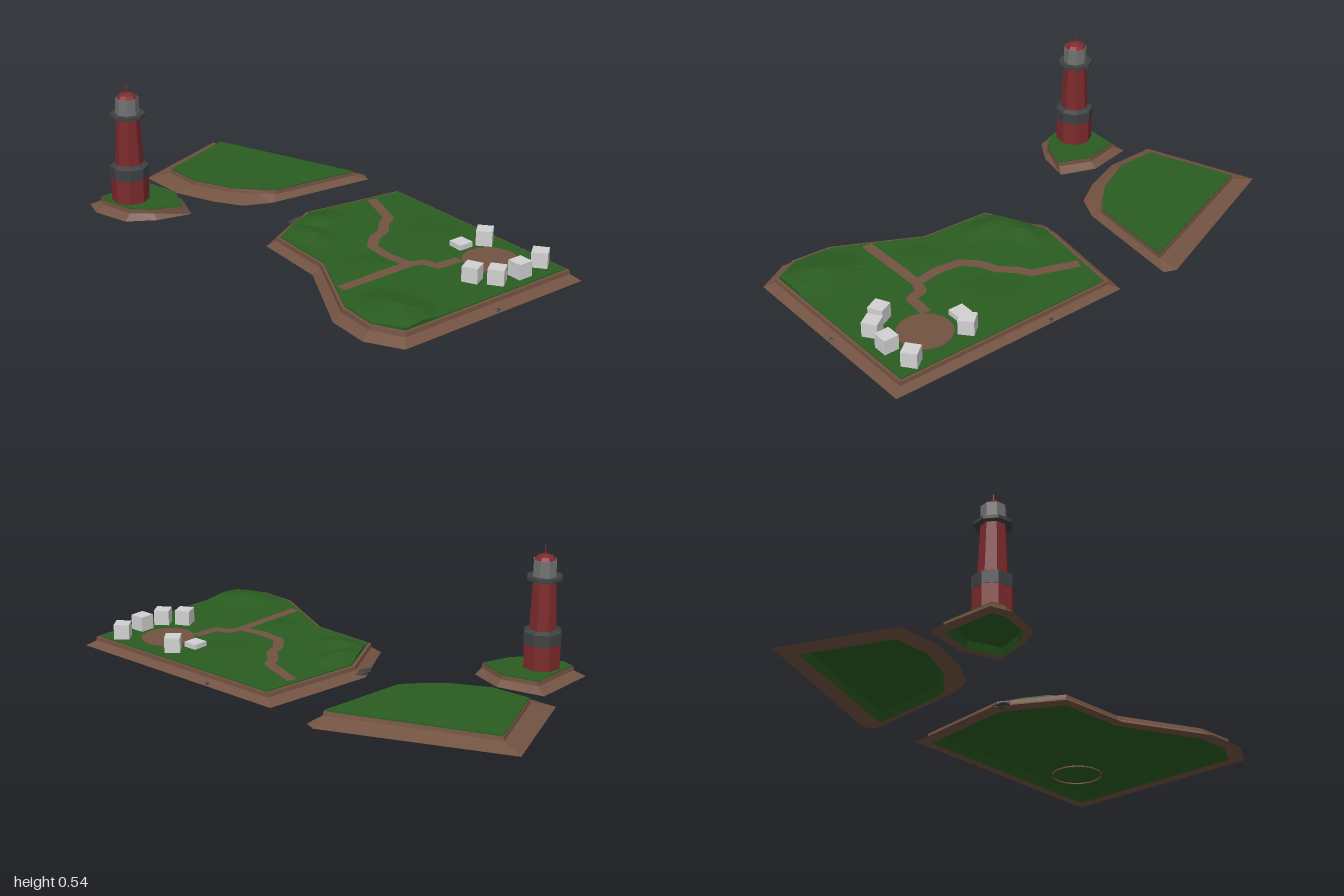
import * as THREE from 'three';

const mat = (name, color) => {
  const m = new THREE.MeshStandardMaterial({ color, flatShading: true });
  m.name = name;
  return m;
};

// Non-indexed geometry from counter-clockwise quads of [x, y, z] corners
function quads(list) {
  const pos = [];
  for (const [a, b, c, d] of list) pos.push(...a, ...b, ...c, ...a, ...c, ...d);
  const g = new THREE.BufferGeometry();
  g.setAttribute('position', new THREE.Float32BufferAttribute(pos, 3));
  g.computeVertexNormals();
  return g;
}

// Closed rings joined in order; outer to inner faces up
function loft(rings) {
  const list = [];
  for (let k = 0; k < rings.length - 1; k++) {
    const p = rings[k], q = rings[k + 1], n = p.length;
    for (let i = 0; i < n; i++) {
      const j = (i + 1) % n;
      list.push([p[i], q[i], q[j], p[j]]);
    }
  }
  return quads(list);
}

const mix = (a, b, t) => a.map((v, i) => v + (b[i] - v) * t);
const cone = (x, z, cx, cz, h, rx, rz = rx) =>
  h * Math.max(0, 1 - Math.hypot((x - cx) / rx, (z - cz) / rz));

const GROUND = 0.054, BASE = 0.011, CEILING = 0.038;

// Faceted hills of the large island
const hills = (x, z) => GROUND
  + cone(x, z, 0.83, 0.24, 0.034, 0.19, 0.13)
  + Math.max(cone(x, z, 0.05, -0.03, 0.028, 0.08, 0.14), cone(x, z, 0.13, 0.08, 0.026, 0.14, 0.08))
  + cone(x, z, 0.42, -0.28, 0.01, 0.14)
  + cone(x, z, 0.47, 0.08, 0.01, 0.1);
const flat = () => GROUND;

// Outlines are [x, z], running clockwise seen from above; bank is how far in the shore steps up
const islands = [
  {
    name: 'backIsland', height: flat, centre: [-0.58, -0.14], steps: 1, rings: 1, bank: 0.93,
    outer: [[-1, -0.27], [-0.29, -0.555], [-0.24, -0.535], [-0.29, -0.06], [-0.34, 0.05], [-0.45, 0.12], [-0.62, 0.187], [-0.83, 0.19]],
    inner: [[-0.9, -0.24], [-0.29, -0.468], [-0.27, -0.475], [-0.31, -0.1], [-0.36, -0.045], [-0.44, 0.03], [-0.6, 0.107], [-0.765, 0.11]],
  },
  {
    name: 'lighthouseIsland', height: flat, centre: [-0.58, 0.38], steps: 1, rings: 1, bank: 0.9,
    outer: [[-0.738, 0.246], [-0.545, 0.208], [-0.4, 0.262], [-0.433, 0.406], [-0.5, 0.513], [-0.652, 0.556], [-0.738, 0.529]],
    inner: [[-0.69, 0.272], [-0.545, 0.24], [-0.412, 0.294], [-0.455, 0.41], [-0.513, 0.48], [-0.647, 0.513], [-0.695, 0.497]],
  },
  {
    name: 'villageIsland', height: hills, centre: [0.5, -0.1], steps: 10, rings: 14, bank: 0.72,
    outer: [[-0.037, -0.513], [1, -0.513], [1, 0.353], [0.866, 0.428], [0.69, 0.417], [0.348, 0.235], [0.037, 0.214], [-0.1, -0.043]],
    inner: [[0.016, -0.476], [0.952, -0.476], [0.952, 0.31], [0.84, 0.369], [0.684, 0.358], [0.358, 0.19], [0.075, 0.176], [-0.043, -0.06]],
  },
];

const refine = (pts, n) => pts.flatMap((p, i) =>
  Array.from({ length: n }, (_, k) => mix(p, pts[(i + 1) % pts.length], k / n)));

// Flat ribbon that follows the terrain
function ribbon(points, width) {
  const pts = [];
  for (let i = 0; i < points.length - 1; i++)
    for (let k = 0; k < 4; k++) pts.push(mix(points[i], points[i + 1], k / 4));
  pts.push(points[points.length - 1]);
  const sides = pts.map((p, i) => {
    const a = pts[Math.max(i - 1, 0)], b = pts[Math.min(i + 1, pts.length - 1)];
    const dx = b[0] - a[0], dz = b[1] - a[1], s = width / 2 / Math.hypot(dx, dz);
    return [1, -1].map((m) => {
      const x = p[0] + m * dz * s, z = p[1] - m * dx * s;
      return [x, hills(x, z) + 0.003, z];
    });
  });
  const list = [];
  for (let i = 0; i < sides.length - 1; i++)
    list.push([sides[i][1], sides[i + 1][1], sides[i + 1][0], sides[i][0]]);
  return quads(list);
}

export function createModel() {
  const earth = mat('earth brown', 0x735342);
  const grass = mat('grass green', 0x2a5c20);
  const red = mat('tower red', 0x7c2a2c);
  const dark = mat('dark stone', 0x3e4042);
  const grey = mat('lantern grey', 0x727272);
  const pale = mat('house grey', 0xd2d2d2);

  const model = new THREE.Group();
  const add = (parent, name, geometry, material, x = 0, y = 0, z = 0) => {
    const m = new THREE.Mesh(geometry, material);
    m.name = name;
    m.position.set(x, y, z);
    parent.add(m);
    return m;
  };

  // Islands: sloping shore, small bank, grass top and hollow underside
  for (const { name, height, centre, steps, rings, bank, outer, inner } of islands) {
    const g = new THREE.Group();
    g.name = name;
    model.add(g);
    const o = refine(outer, steps), n = refine(inner, steps);
    const shoreRing = (t, y) => o.map((p, i) => {
      const [x, z] = mix(p, n[i], t);
      return [x, y, z];
    });
    add(g, 'shore', loft([
      shoreRing(1, BASE), shoreRing(0, BASE), shoreRing(bank, 0.034),
      shoreRing(bank + 0.04, 0.05), shoreRing(1, 0.05),
    ]), earth);

    const inward = (t, yOf) => n.map((p) => {
      const [x, z] = mix(p, centre, t);
      return [x, yOf(x, z), z];
    });
    const top = [inward(0, () => 0.048)];
    for (let k = 0; k <= rings; k++) top.push(inward(k / rings, height));
    add(g, 'grassTop', loft(top), grass);

    const rim = (x, z) => BASE - (height === hills ? cone(x, z, 0.358, 0.19, 0.011, 0.09) : 0);
    const ceiling = () => CEILING;
    add(g, 'grassUnderside', loft([inward(1, ceiling), inward(0.08, ceiling), inward(0, rim)]), grass);
  }

  // Paths
  const village = model.getObjectByName('villageIsland');
  add(village, 'mainPath', ribbon([[0.016, -0.335], [0.2, -0.267], [0.225, -0.22], [0.283, -0.166],
    [0.31, -0.1], [0.365, -0.04], [0.47, -0.03], [0.57, -0.045], [0.59, -0.1], [0.648, -0.115], [0.655, -0.22]], 0.043), earth);
  add(village, 'sidePath', ribbon([[0.57, -0.05], [0.572, 0.283]], 0.043), earth);

  // Village square, a disc with a rim that shows through the underside
  const square = [[0.101, 0.045], [0.101, 0.033], [0.107, 0.033], [0.107, 0.058], [0, 0.058]];
  add(village, 'square', new THREE.LatheGeometry(square.map((p) => new THREE.Vector2(...p)), 32), earth, 0.727, 0, -0.31);

  // Houses: x, z, turn, height
  const houses = [
    [0.567, -0.31, 0, 0.025], [0.602, -0.4, 0.7, 0.065], [0.87, -0.425, 0.65, 0.065],
    [0.888, -0.302, 0, 0.065], [0.877, -0.197, 0.6, 0.065], [0.807, -0.14, 0.45, 0.065],
  ];
  for (const [x, z, turn, h] of houses)
    add(village, 'house', new THREE.BoxGeometry(0.062, h, 0.062), pale, x, 0.05 + h / 2, z).rotation.y = turn;

  // Shore rocks: x, y, z and half sizes
  const rocks = [[-0.07, 0.02, -0.025, 0.022, 0.011, 0.056], [0.3, 0.016, -0.5, 0.018, 0.008, 0.011],
    [0.985, 0.017, -0.095, 0.013, 0.007, 0.013]];
  for (const [x, y, z, ...s] of rocks)
    add(village, 'rock', new THREE.IcosahedronGeometry(1, 0), dark, x, y, z).scale.set(...s);

  // Octagonal lighthouse: name, bottom y, top y, bottom radius, top radius, material
  const tower = new THREE.Group();
  tower.name = 'lighthouse';
  tower.position.set(-0.604, 0, 0.418);
  tower.rotation.y = 0.2;
  model.add(tower);
  const sections = [
    ['base', 0.045, 0.152, 0.076, 0.076, red],
    ['baseBand', 0.152, 0.2, 0.078, 0.078, dark],
    ['baseBandChamfer', 0.2, 0.211, 0.078, 0.058, dark],
    ['shaft', 0.21, 0.41, 0.057, 0.047, red],
    ['gallery', 0.408, 0.421, 0.072, 0.072, dark],
    ['lantern', 0.421, 0.486, 0.048, 0.047, grey],
    ['lowerRoof', 0.486, 0.499, 0.044, 0.032, red],
    ['upperRoof', 0.499, 0.507, 0.032, 0.012, red],
    ['mast', 0.505, 0.54, 0.003, 0.003, red],
  ];
  for (const [name, y0, y1, r0, r1, m] of sections)
    add(tower, name, new THREE.CylinderGeometry(r1, r0, y1 - y0, 8), m, 0, (y0 + y1) / 2, 0);

  return model;
}
